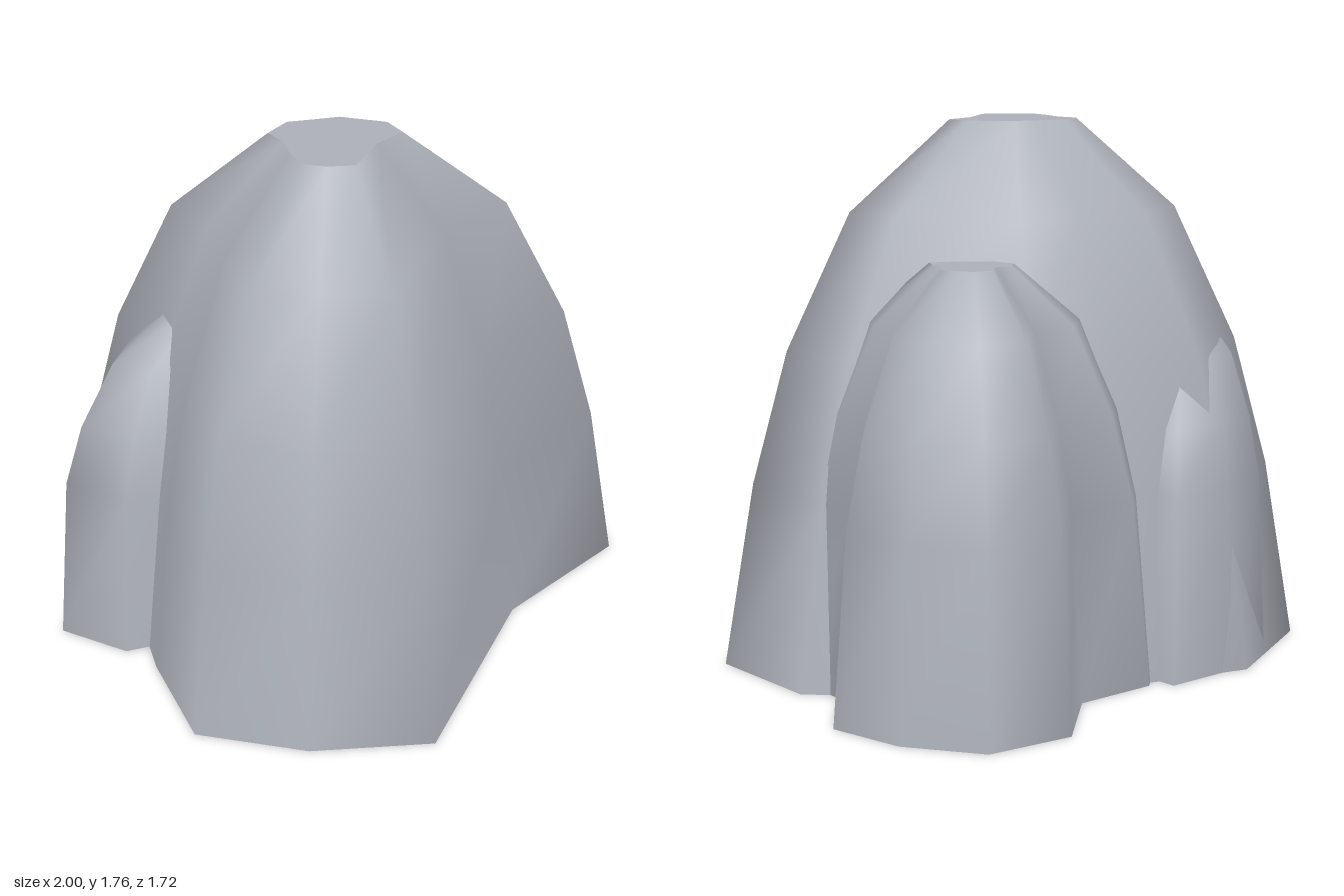
import * as THREE from 'three';

// Shrink of the base outline at each of the five rings, bottom to top
const TAPER = [1, 0.895, 0.775, 0.56, 0.219];

// Rocks: centre [x, z], ring heights, base outline [x, z] running from +x towards +z
const ROCKS = [
  {
    name: 'mainRock', centre: [-0.09, 0], heights: [0, 0.6, 1.03, 1.47, 1.76],
    base: [[0.87, 0], [0.85, 0.4], [0.33, 0.475], [-0.31, 0.855], [-0.66, 0.645], [-0.915, 0.36],
      [-0.84, 0], [-0.71, -0.365], [-0.73, -0.72], [-0.305, -0.86], [0.09, -0.685], [0.41, -0.55]],
  },
  {
    name: 'secondRock', centre: [0.397, -0.292], heights: [0, 0.6, 0.88, 1.16, 1.345],
    base: [[1, -0.305], [0.81, -0.11], [0.8, 0.06], [0.615, 0.33], [0.27, 0.13], [0.09, -0.06],
      [-0.11, -0.28], [-0.16, -0.6], [0.04, -0.735], [0.31, -0.69], [0.545, -0.86], [0.82, -0.785], [0.96, -0.55]],
  },
  {
    name: 'sideRock', centre: [-0.41, -0.32], heights: [0, 0.6, 0.8, 1.0, 1.13],
    base: [[0, -0.3], [-0.1, -0.05], [-0.3, 0.1], [-0.55, 0.05], [-0.73, -0.08], [-0.88, -0.13],
      [-1, -0.355], [-0.77, -0.53], [-0.65, -0.63], [-0.4, -0.68], [-0.15, -0.6]],
  },
  {
    name: 'backRock', centre: [-0.48, -0.42], heights: [0, 0.6, 0.8, 1.0, 1.13],
    base: [[0, -0.4], [-0.1, -0.15], [-0.32, 0], [-0.6, -0.05], [-0.68, -0.35], [-0.64, -0.62],
      [-0.475, -0.8], [-0.26, -0.83], [-0.015, -0.79], [-0.015, -0.62]],
  },
];

// Outline at one ring, scaled about the rock's centre
function ring({ centre: [cx, cz], heights, base }, level) {
  return base.map(([x, z]) => [cx + (x - cx) * TAPER[level], heights[level], cz + (z - cz) * TAPER[level]]);
}

function buildGeometry(points, index) {
  const geometry = new THREE.BufferGeometry();
  geometry.setAttribute('position', new THREE.Float32BufferAttribute(points.flat(), 3));
  geometry.setIndex(index);
  geometry.computeVertexNormals();
  return geometry;
}

// Smooth tapering wall, open underneath
function wallGeometry(rock) {
  const n = rock.base.length;
  const points = TAPER.flatMap((_, level) => ring(rock, level));
  const index = [];
  for (let level = 0; level < TAPER.length - 1; level++) {
    for (let i = 0; i < n; i++) {
      const a = level * n + i, b = level * n + (i + 1) % n;
      index.push(a, a + n, b, b, a + n, b + n);
    }
  }
  return buildGeometry(points, index);
}

// Flat top with its own vertices, so the rim stays sharp
function capGeometry(rock) {
  const n = rock.base.length;
  const top = TAPER.length - 1;
  const points = ring(rock, top);
  points.push([rock.centre[0], rock.heights[top], rock.centre[1]]);
  const index = [];
  for (let i = 0; i < n; i++) index.push(n, (i + 1) % n, i);
  return buildGeometry(points, index);
}

export function createModel() {
  const stone = new THREE.MeshStandardMaterial({ color: 0xadb1b9, side: THREE.DoubleSide });
  stone.name = 'stone grey';

  const model = new THREE.Group();
  model.name = 'rockCluster';
  for (const rock of ROCKS) {
    const group = new THREE.Group();
    group.name = rock.name;
    const wall = new THREE.Mesh(wallGeometry(rock), stone);
    wall.name = 'rockWall';
    const cap = new THREE.Mesh(capGeometry(rock), stone);
    cap.name = 'rockTop';
    group.add(wall, cap);
    model.add(group);
  }
  return model;
}
